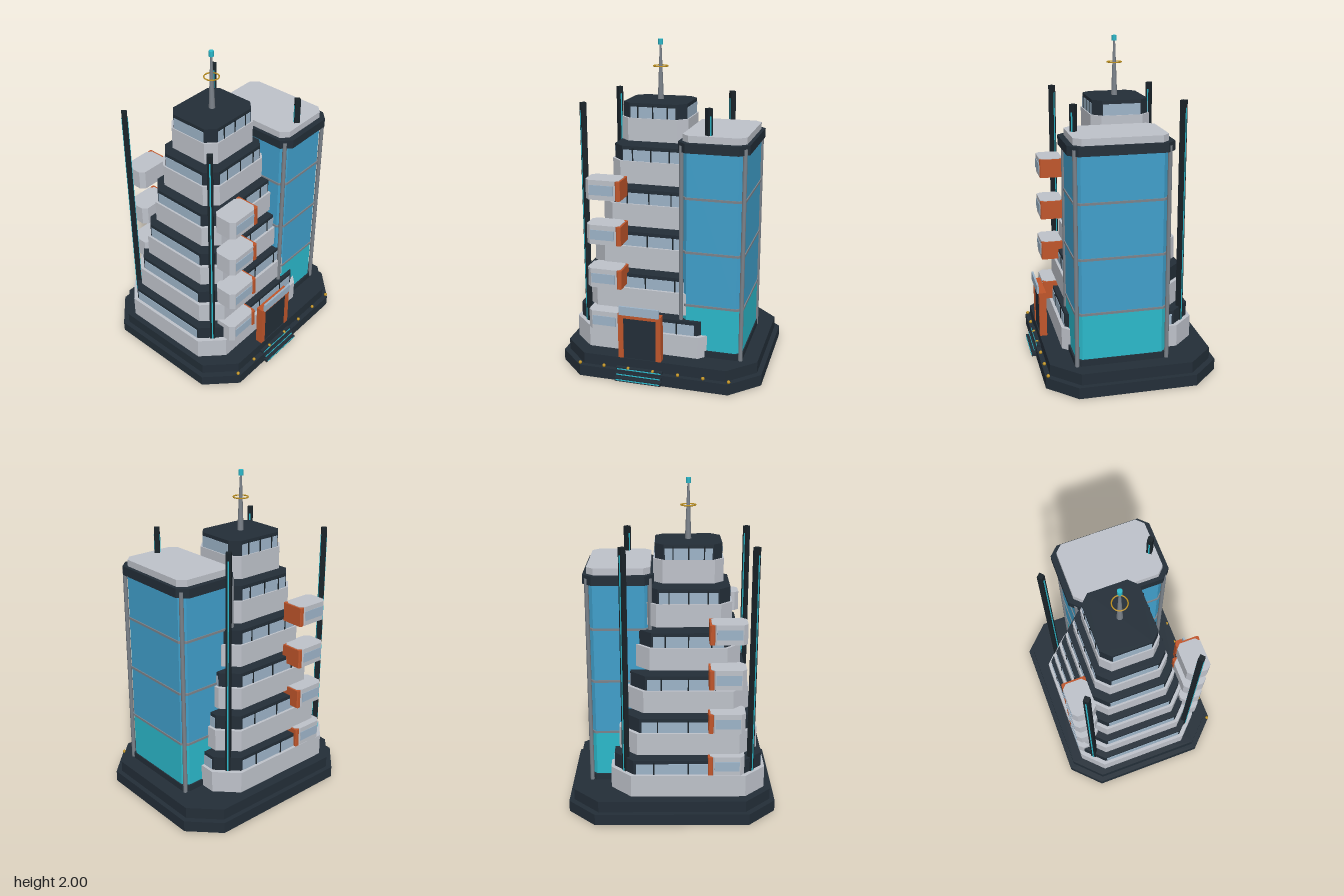
import * as THREE from 'three';

const mat = (name, color) => {
  const m = new THREE.MeshStandardMaterial({ color });
  m.name = name;
  return m;
};

export function createModel() {
  const model = new THREE.Group();
  model.name = 'terracedTower';
  const dark = mat('dark slate', 0x232e38);
  const black = mat('near black', 0x1a2329);
  const light = mat('pale concrete', 0xbec2ca);
  const orange = mat('burnt orange', 0xc0562b);
  const blue = mat('blue glass', 0x409fcb);
  const teal = mat('teal glow', 0x2bb9cb);
  const pane = mat('window glass', 0x9db4c8);
  const metal = mat('grey metal', 0x7c838b);
  const gold = mat('gold', 0xc0921f);

  const add = (name, geo, material, x = 0, y = 0, z = 0, parent = model) => {
    const m = new THREE.Mesh(geo, material);
    m.name = name;
    m.position.set(x, y, z);
    parent.add(m);
    return m;
  };
  // Box given by its limits
  const box = (name, material, x0, x1, y0, y1, z0, z1, parent = model) =>
    add(name, new THREE.BoxGeometry(x1 - x0, y1 - y0, z1 - z0), material,
      (x0 + x1) / 2, (y0 + y1) / 2, (z0 + z1) / 2, parent);
  // Upright prism with a chamfered rectangle as plan
  const prism = (name, material, cx, cz, hx, hz, c, y0, y1, parent = model) => {
    const pts = [[hx - c, -hz], [hx, c - hz], [hx, hz - c], [hx - c, hz],
      [c - hx, hz], [-hx, hz - c], [-hx, c - hz], [c - hx, -hz]];
    const shape = new THREE.Shape(pts.map(p => new THREE.Vector2(...p)));
    const geo = new THREE.ExtrudeGeometry(shape, { depth: y1 - y0, bevelEnabled: false });
    geo.rotateX(-Math.PI / 2);
    return add(name, geo, material, cx, y0, cz, parent);
  };

  // Plinth
  prism('plinthLower', dark, 0, -0.015, 0.633, 0.525, 0.17, 0, 0.07);
  prism('plinthUpper', dark, 0, -0.015, 0.603, 0.495, 0.16, 0.07, 0.14);

  // Front steps with glowing edges
  for (let i = 0; i < 3; i++) {
    const y = 0.01 + i * 0.027, z = 0.538 - i * 0.018;
    box('step', dark, -0.23, 0.06, y, y + 0.02, 0.44, z);
    box('stepLight', teal, -0.222, 0.052, y + 0.007, y + 0.013, z, z + 0.003);
  }

  // Lamps along the front edge
  for (let i = -3; i <= 3; i++)
    add('plinthLamp', new THREE.SphereGeometry(0.011, 8, 6), gold, i * 0.155, 0.08, 0.495);

  // Six stepped storeys
  const cx = -0.097, cz = -0.035;
  for (let i = 0; i < 6; i++) {
    const s = 1 - 0.112 * i, y = 0.14 + 0.254 * i;
    const storey = new THREE.Group();
    storey.name = 'storey';
    model.add(storey);
    const hx = 0.47 * s, hz = 0.41 * s, t = 0.022 * s;
    prism('parapet', light, cx, cz, hx, hz, 0.125 * s, y, y + 0.138, storey);
    prism('windowBand', dark, cx, cz, hx - t, hz - t, 0.118 * s, y + 0.13, y + 0.227, storey);
    const gx = hx * 0.67, gz = hz * 0.63, y0 = y + 0.138, y1 = y + 0.205;
    for (const d of [-1, 1]) {
      const z = cz + d * (hz - t), x = cx + d * (hx - t);
      box('windowStrip', pane, cx - gx, cx + gx, y0, y1, z - 0.003, z + 0.003, storey);
      box('windowStrip', pane, x - 0.003, x + 0.003, y0, y1, cz - gz, cz + gz, storey);
      for (const k of [-0.44, 0, 0.44]) {
        const mx = cx + k * hx;
        box('mullion', black, mx - 0.004, mx + 0.004, y0, y1 + 0.01, z - 0.006, z + 0.006, storey);
      }
    }
  }

  // Glass tower
  const tx = 0.315, tz = 0.055;
  const tower = new THREE.Group();
  tower.name = 'glassTower';
  model.add(tower);
  prism('towerFoot', dark, tx, tz, 0.195, 0.285, 0.035, 0.14, 0.18, tower);
  prism('lobbyGlass', teal, tx, tz, 0.188, 0.275, 0.035, 0.18, 0.465, tower);
  prism('towerGlass', blue, tx, tz, 0.188, 0.275, 0.035, 0.465, 1.405, tower);
  prism('towerCornice', dark, tx, tz, 0.21, 0.31, 0.055, 1.405, 1.46, tower);
  prism('towerRoof', light, tx, tz, 0.188, 0.275, 0.042, 1.46, 1.5, tower);
  for (const y of [0.465, 0.8, 1.13])
    prism('floorRail', metal, tx, tz, 0.194, 0.281, 0.035, y - 0.007, y + 0.007, tower);
  for (const sx of [-1, 1]) for (const sz of [-1, 1])
    add('cornerPost', new THREE.CylinderGeometry(0.013, 0.013, 1.3, 8), metal,
      tx + sx * 0.185, 0.79, tz + sz * 0.272, tower);

  // Diagonal pylons with light strips
  for (const sx of [-1, 1]) for (const sz of [-1, 1]) {
    const pylon = new THREE.Group();
    pylon.name = 'pylon';
    pylon.position.set(cx + sx * 0.378, 0, cz + sz * 0.327);
    pylon.rotation.y = Math.atan2(sx * 0.378, sz * 0.327);
    model.add(pylon);
    box('pylonShaft', black, -0.016, 0.016, 0.14, 1.655, -0.016, 0.016, pylon);
    for (const d of [-1, 1])
      box('pylonLight', teal, -0.004, 0.004, 0.2, 1.61, d * 0.017 - 0.002, d * 0.017 + 0.002, pylon);
  }

  // Pods on the front and back
  for (let i = 0; i < 4; i++) for (const d of [-1, 1]) {
    const y = 0.28 + 0.275 * i, z = d > 0 ? 0.345 : -0.372, out = z + d * 0.074;
    const pod = new THREE.Group();
    pod.name = 'pod';
    model.add(pod);
    prism('podShell', light, -0.33, z, 0.104, 0.074, 0.026, y, y + 0.12, pod);
    box('podWindow', pane, -0.404, -0.255, y + 0.03, y + 0.09, out - 0.003, out + 0.004, pod);
    prism('podEnd', orange, -0.23, z, 0.015, 0.074, 0.006, y, y + 0.117, pod);
  }

  // Entrance portal
  box('portalPost', orange, -0.22, -0.188, 0.14, 0.43, 0.435, 0.48);
  box('portalPost', orange, 0.015, 0.047, 0.14, 0.43, 0.435, 0.48);
  box('portalLintel', orange, -0.188, 0.015, 0.4, 0.43, 0.435, 0.48);
  box('door', dark, -0.188, 0.015, 0.14, 0.4, 0.438, 0.474);
  box('portalScreen', pane, -0.21, 0.037, 0.425, 0.48, 0.48, 0.492);

  // Mast
  add('mast', new THREE.CylinderGeometry(0.006, 0.019, 0.33, 8), metal, cx, 1.805, cz);
  const ring = add('mastRing', new THREE.TorusGeometry(0.044, 0.004, 6, 24), gold, cx, 1.84, cz);
  ring.rotation.x = Math.PI / 2;
  add('mastBeacon', new THREE.CylinderGeometry(0.015, 0.015, 0.033, 8), teal, cx, 1.9835, cz);

  return model;
}
